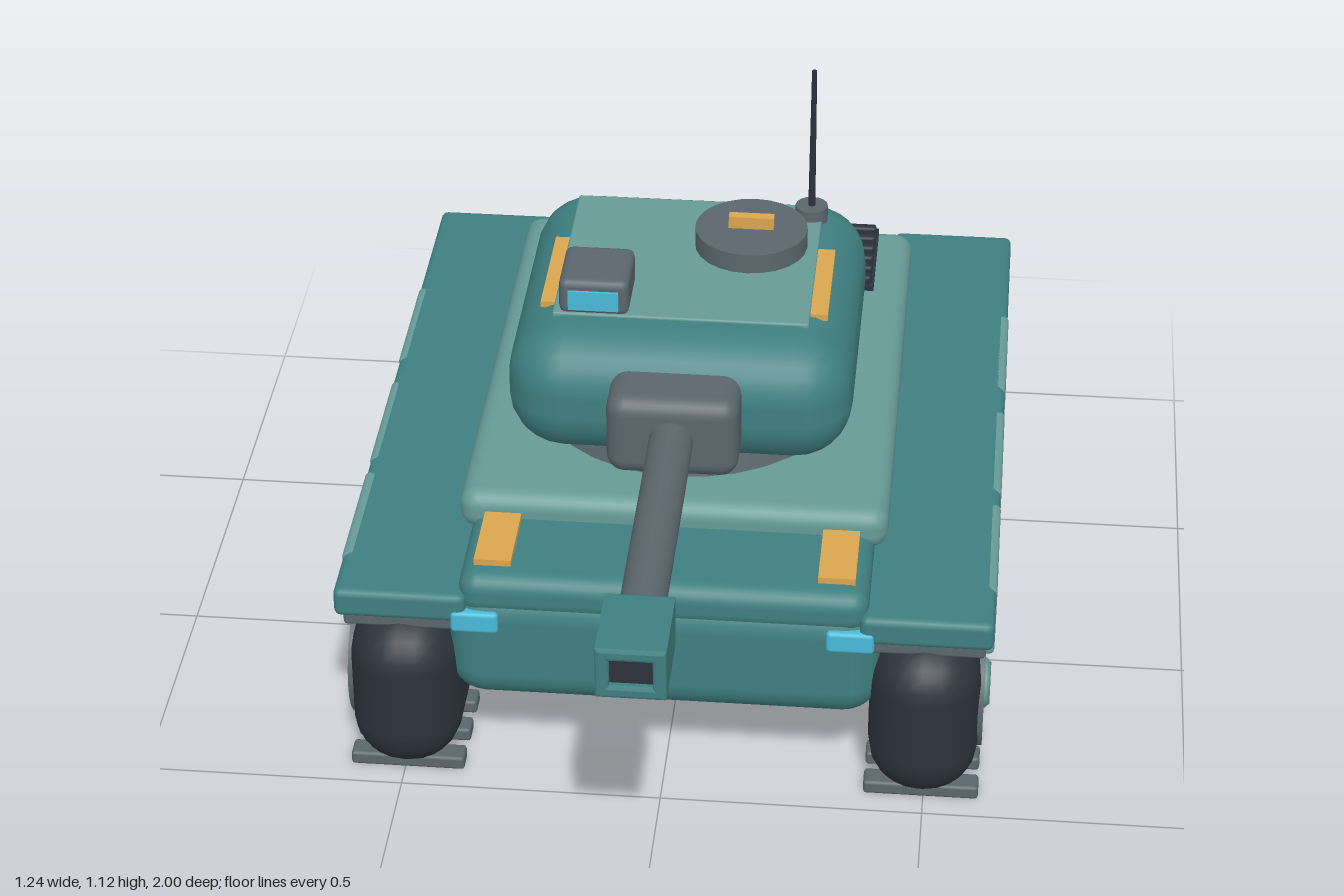
import * as THREE from 'three';
import { RoundedBoxGeometry } from 'three/addons/geometries/RoundedBoxGeometry.js';

const mat = (color) => new THREE.MeshStandardMaterial({ color });
const M = {
  teal: mat(0x3f7f80), pale: mat(0x669a96), grey: mat(0x5a666c),
  dark: mat(0x2c323c), amber: mat(0xd9a650), glass: mat(0x4ab9d8),
};

export function createModel() {
  const root = new THREE.Group();
  root.name = 'tank';

  const add = (name, geo, material, x, y, z, parent = root) => {
    const m = new THREE.Mesh(geo, material);
    m.name = name;
    m.position.set(x, y, z);
    parent.add(m);
    return m;
  };
  // Box given by its [min, max] on each axis, with rounded edges when r > 0
  const box = (name, material, [x0, x1], [y0, y1], [z0, z1], r = 0, seg = 3, parent = root) => {
    const s = [x1 - x0, y1 - y0, z1 - z0];
    const geo = r ? new RoundedBoxGeometry(...s, seg, r) : new THREE.BoxGeometry(...s);
    return add(name, geo, material, (x0 + x1) / 2, (y0 + y1) / 2, (z0 + z1) / 2, parent);
  };
  const cyl = (name, material, rTop, rBottom, h, x, y, z, sides = 24, parent = root) =>
    add(name, new THREE.CylinderGeometry(rTop, rBottom, h, sides), material, x, y, z, parent);

  // Hull
  box('lowerHull', M.teal, [-0.41, 0.41], [0.175, 0.435], [-0.965, 0.465], 0.07);
  box('nosePlate', M.teal, [-0.385, 0.385], [0.375, 0.462], [0.05, 0.46], 0.035);
  box('deck', M.pale, [-0.41, 0.41], [0.425, 0.51], [-0.825, 0.255], 0.035);

  // Engine grilles, headlights and nose pads, mirrored
  for (const s of [-1, 1]) {
    const span = (a, b) => (s > 0 ? [a, b] : [-b, -a]);
    const grille = new THREE.Group();
    grille.name = 'engineGrille';
    root.add(grille);
    box('grilleBase', M.dark, span(0.09, 0.34), [0.5, 0.52], [-0.805, -0.565], 0, 0, grille);
    for (let i = 0; i < 6; i++) {
      const z = -0.785 + i * 0.04;
      box('grilleSlat', M.dark, span(0.095, 0.335), [0.515, 0.537], [z - 0.011, z + 0.011], 0.006, 1, grille);
    }
    box('headlight', M.glass, span(0.308, 0.398), [0.345, 0.39], [0.42, 0.472], 0.008, 2);
    box('nosePad', M.amber, span(0.288, 0.358), [0.455, 0.475], [0.25, 0.413]);
  }

  // Running gear on each side
  for (const s of [-1, 1]) {
    const side = new THREE.Group();
    side.name = s > 0 ? 'leftRunningGear' : 'rightRunningGear';
    root.add(side);
    const span = (a, b) => (s > 0 ? [a, b] : [-b, -a]);

    box('track', M.dark, span(0.39, 0.6), [0.015, 0.352], [-1, 0.51], 0.1, 3, side);
    box('fender', M.teal, span(0.37, 0.62), [0.363, 0.423], [-0.965, 0.468], 0.014, 2, side);

    // Tread cleats along the ground and the return run
    for (let i = 0; i < 16; i++) {
      const z = 0.427 - i * 0.0895;
      for (const y of [0, 0.334])
        box('trackCleat', M.grey, span(0.385, 0.605), [y, y + 0.028], [z - 0.023, z + 0.023], 0.006, 1, side);
    }

    // Road wheels with a bevelled hub cap
    for (let i = 0; i < 5; i++) {
      const z = 0.31 - i * 0.276;
      const wheel = cyl('roadWheel', M.grey, 0.121, 0.121, 0.03, s * 0.592, 0.176, z, 24, side);
      const hub = add('wheelHub', new THREE.LatheGeometry(
        [[0.048, 0], [0.048, 0.022], [0.04, 0.03], [0, 0.03]].map((p) => new THREE.Vector2(...p)), 16),
        M.pale, s * 0.588, 0.176, z, side);
      wheel.rotation.z = hub.rotation.z = -s * Math.PI / 2;
    }

    // Side skirts
    for (const [z0, z1] of [[0.06, 0.35], [-0.27, 0.02], [-0.638, -0.35]])
      box('sideSkirt', M.pale, span(0.592, 0.622), [0.27, 0.423], [z0, z1], 0.01, 2, side);
  }

  // Turret
  const turret = new THREE.Group();
  turret.name = 'turret';
  root.add(turret);
  cyl('turretRing', M.grey, 0.28, 0.302, 0.075, 0, 0.54, -0.145, 32, turret);
  box('turretBody', M.teal, [-0.33, 0.33], [0.54, 0.798], [-0.487, 0.183], 0.11, 3, turret);
  box('turretRoof', M.pale, [-0.248, 0.242], [0.785, 0.803], [-0.4, 0.053], 0.004, 1, turret);
  for (const s of [-1, 1])
    box('roofRail', M.amber, s > 0 ? [0.236, 0.275] : [-0.275, -0.236], [0.787, 0.8], [-0.235, 0.01], 0, 0, turret);

  // Periscope
  box('periscope', M.grey, [-0.236, -0.102], [0.797, 0.872], [-0.09, 0.05], 0.015, 2, turret);
  box('periscopeGlass', M.glass, [-0.217, -0.121], [0.812, 0.852], [0.03, 0.056], 0, 0, turret);

  // Hatch and its handle
  cyl('hatch', M.grey, 0.11, 0.11, 0.05, 0.11, 0.818, -0.235, 24, turret);
  box('hatchHandle', M.amber, [0.066, 0.154], [0.84, 0.868], [-0.246, -0.226], 0, 0, turret);

  // Antenna
  cyl('antennaBase', M.grey, 0.032, 0.032, 0.035, 0.22, 0.808, -0.362, 16, turret);
  cyl('antenna', M.dark, 0.005, 0.007, 0.31, 0.22, 0.97, -0.362, 8, turret);

  // Gun
  const gun = new THREE.Group();
  gun.name = 'gun';
  turret.add(gun);
  box('mantlet', M.grey, [-0.125, 0.125], [0.582, 0.75], [0.13, 0.272], 0.035, 3, gun);
  cyl('barrel', M.grey, 0.042, 0.042, 0.62, 0, 0.667, 0.54, 20, gun).rotation.x = Math.PI / 2;

  // Square muzzle sleeve with a recessed bore
  const w = 0.062, h = 0.051, b = 0.006;
  const rect = (P, x, y) => {
    const p = new P();
    p.moveTo(-x, -y).lineTo(x, -y).lineTo(x, y).lineTo(-x, y).closePath();
    return p;
  };
  const sleeve = rect(THREE.Shape, w - b, h - b);
  sleeve.holes.push(rect(THREE.Path, 0.038 + b, 0.027 + b));
  add('muzzle', new THREE.ExtrudeGeometry(sleeve, {
    depth: 0.17 - 2 * b, bevelEnabled: true, bevelSize: b, bevelThickness: b, bevelSegments: 2,
  }), M.teal, 0, 0.667, 0.83 + b, gun);
  box('muzzleBack', M.teal, [-0.05, 0.05], [0.627, 0.707], [0.832, 0.85], 0, 0, gun);
  box('bore', M.dark, [-0.042, 0.042], [0.637, 0.697], [0.84, 0.985], 0, 0, gun);

  return root;
}
